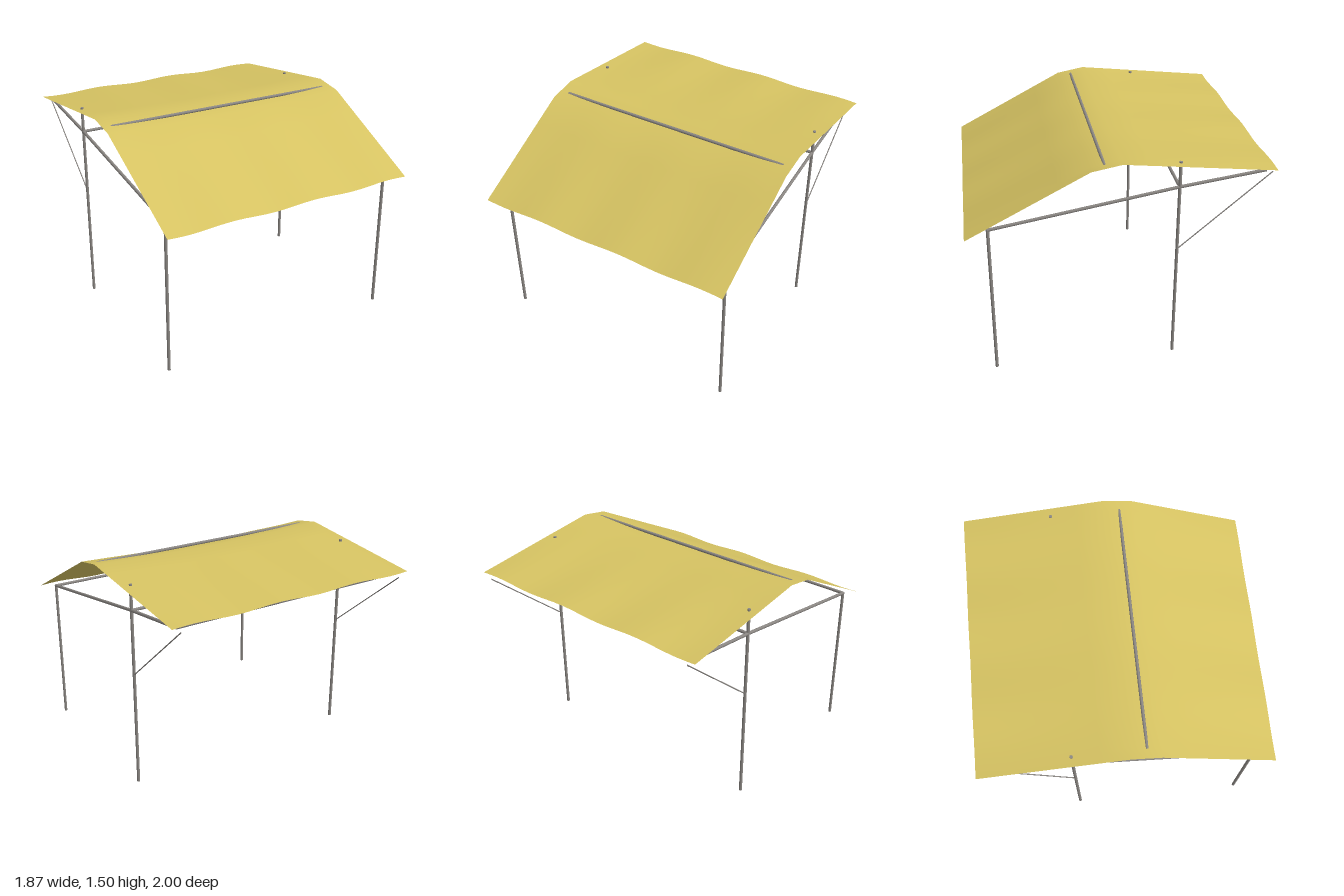
import * as THREE from 'three';

const metal = new THREE.MeshStandardMaterial({ color: 0x8c8884 });
metal.name = 'grey metal';
const cloth = new THREE.MeshStandardMaterial({ color: 0xd6c362, side: THREE.DoubleSide });
cloth.name = 'yellow canvas';

// Round bar between two points
function bar(name, a, b, radius = 0.011) {
  const from = new THREE.Vector3(...a);
  const dir = new THREE.Vector3(...b).sub(from);
  const geo = new THREE.CylinderGeometry(radius, radius, dir.length(), 8);
  const mesh = new THREE.Mesh(geo, metal);
  mesh.name = name;
  mesh.position.copy(from).addScaledVector(dir, 0.5);
  mesh.quaternion.setFromUnitVectors(new THREE.Vector3(0, 1, 0), dir.normalize());
  return mesh;
}

// Height of the canopy: side profile, sag across the middle, ripples towards the hems
const profile = [[-1, 1.386], [0, 1.497], [0.2, 1.46], [1, 1.042]];
function canopyHeight(x, z) {
  let i = 0;
  while (i < profile.length - 2 && z > profile[i + 1][0]) i++;
  const [[z0, y0], [z1, y1]] = [profile[i], profile[i + 1]];
  const base = y0 + (y1 - y0) * (z - z0) / (z1 - z0);
  const sag = 0.026 * (1 - (x / 0.935) ** 2) * (1 - Math.abs(z));
  return base - sag + 0.007 * Math.abs(z) * Math.sin(10 * x);
}

function canopy() {
  const geo = new THREE.PlaneGeometry(1.87, 2, 24, 10).rotateX(-Math.PI / 2);
  const p = geo.attributes.position;
  for (let i = 0; i < p.count; i++) {
    const z = Math.round(p.getZ(i) * 1000) / 1000;
    p.setY(i, canopyHeight(p.getX(i), z));
  }
  geo.computeVertexNormals();
  const mesh = new THREE.Mesh(geo, cloth);
  mesh.name = 'canopy';
  return mesh;
}

export function createModel() {
  const group = new THREE.Group();
  group.name = 'shelter';
  group.add(canopy());

  // Posts, sloping rails and braces on both sides
  const X = 0.87;
  for (const [side, x] of [['left', X], ['right', -X]]) {
    group.add(
      bar(side + 'FrontPost', [x, 0, 0.85], [x, 1.08, 0.85]),
      bar(side + 'BackPost', [x, 0, -0.38], [x, 1.463, -0.38]),
      bar(side + 'Rail', [x, 1.075, 0.85], [x, 1.285, -0.38]),
      bar(side + 'RearRail', [x, 1.285, -0.38], [x, 1.365, -0.945]),
      bar(side + 'Brace', [x, 0.83, -0.385], [x, 1.35, -0.99], 0.004)
    );
  }

  // Bars running across the frame
  const crossBars = [
    ['frontCrossBar', 1.075, 0.85],
    ['ridgeBar', 1.467, 0.105],
    ['middleCrossBar', 1.285, -0.38],
    ['backCrossBar', 1.365, -0.94],
  ];
  for (const [name, y, z] of crossBars) group.add(bar(name, [-X, y, z], [X, y, z]));

  return group;
}
